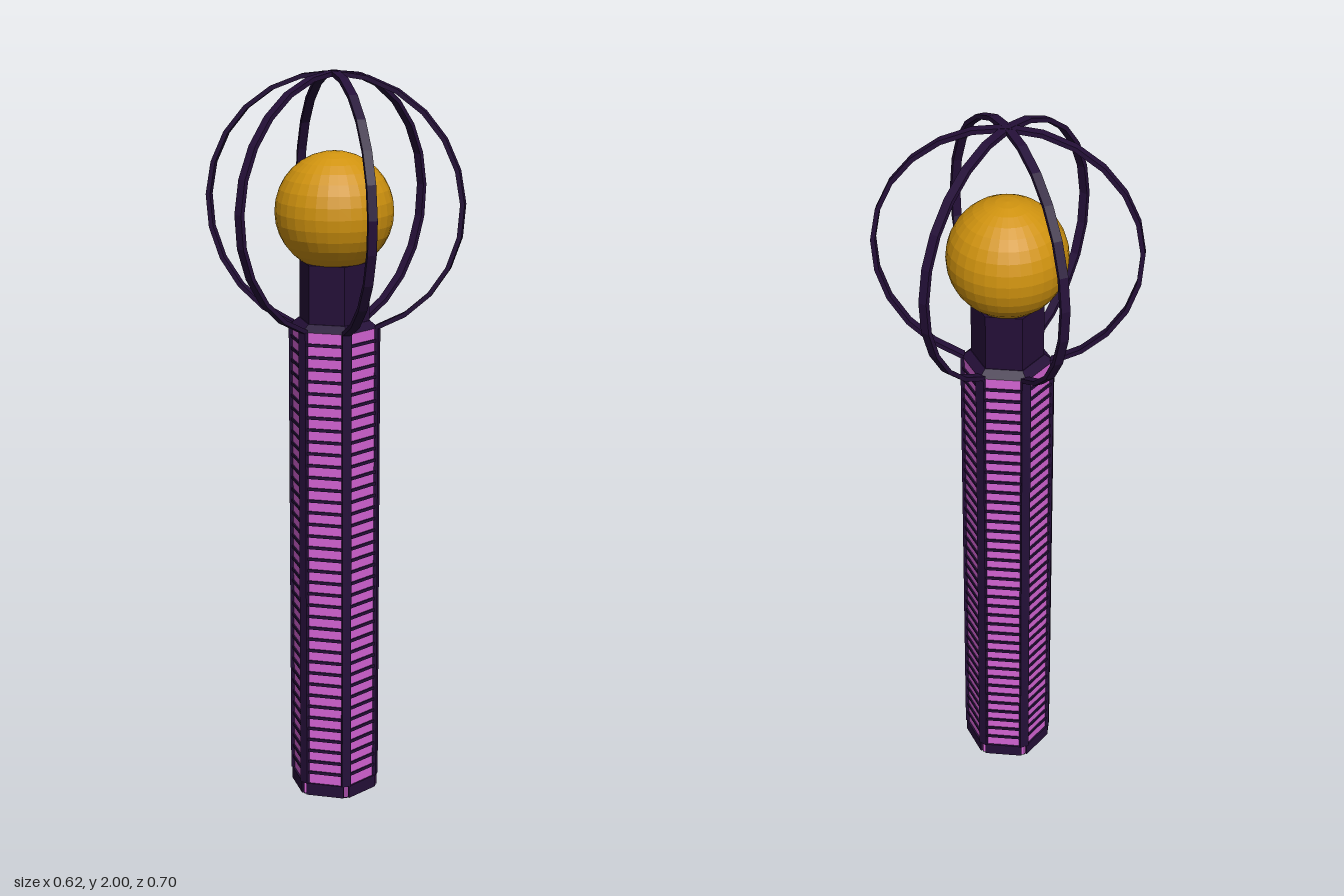
import * as THREE from 'three';

const material = (name, color, flat = false) => {
  const m = new THREE.MeshStandardMaterial({ color, flatShading: flat });
  m.name = name;
  return m;
};

export function createModel() {
  const group = new THREE.Group();
  group.name = 'cagedLantern';
  const dark = material('darkViolet', 0x240f38, true);
  const pink = material('orchidPink', 0xd664d6, true);
  const gold = material('amber', 0xd0930f, true);

  const add = (name, geometry, mat, parent = group) => {
    const mesh = new THREE.Mesh(geometry, mat);
    mesh.name = name;
    parent.add(mesh);
    return mesh;
  };
  // Hexagonal prism between two heights, corners on the z axis
  const hex = (name, rTop, rBottom, y0, y1, mat) => {
    add(name, new THREE.CylinderGeometry(rTop, rBottom, y1 - y0, 6), mat).position.y = (y0 + y1) / 2;
  };

  const R = 0.12, APOTHEM = R * Math.cos(Math.PI / 6), TOP = 1.325, BASE = 0.035;
  hex('bottomPlate', R, R, 0, 0.003, dark);
  hex('shaftCore', R, R, 0.003, TOP, pink);
  hex('collar', 0.098, 0.122, TOP, 1.343, dark);
  hex('neck', 0.096, 0.096, 1.34, 1.5, dark);

  // Glowing ball
  add('ball', new THREE.SphereGeometry(0.158, 32, 16), gold).position.y = 1.633;

  // Half hoop: flat strip rising from a shaft corner to the crown
  const outer = 0.35, inner = 0.338, centreY = 1.65, steps = 11;
  const endAngle = -Math.acos(0.117 / outer);
  const arcPoint = (r, i) => {
    const a = Math.PI / 2 + (endAngle - Math.PI / 2) * i / steps;
    return new THREE.Vector2(r * Math.cos(a), centreY + r * Math.sin(a));
  };
  const outline = [];
  for (let i = 0; i <= steps; i++) outline.push(arcPoint(outer, i));
  for (let i = steps; i >= 0; i--) outline.push(arcPoint(inner, i));
  const hoopGeometry = new THREE.ExtrudeGeometry(new THREE.Shape(outline), { depth: 0.024, bevelEnabled: false });
  hoopGeometry.translate(0, 0, -0.012);

  const postGeometry = new THREE.BoxGeometry(0.025, TOP - BASE, 0.024);
  const baseGeometry = new THREE.BoxGeometry(0.106, BASE, 0.012);
  const slatGeometry = new THREE.BoxGeometry(0.112, 0.008, 0.012);
  const slats = 39, pitch = (TOP - BASE) / slats;

  for (let k = 0; k < 6; k++) {
    const angle = k * Math.PI / 3;
    // Corner: post and half hoop
    const corner = new THREE.Group();
    corner.name = 'corner' + (k + 1);
    corner.rotation.y = angle;
    group.add(corner);
    add('cornerPost', postGeometry, dark, corner).position.set(0, (TOP + BASE) / 2, 0.111);
    add('halfHoop', hoopGeometry, dark, corner).rotation.y = -Math.PI / 2;

    // Side: base panel and stacked slats
    const side = new THREE.Group();
    side.name = 'side' + (k + 1);
    side.rotation.y = angle + Math.PI / 6;
    group.add(side);
    add('basePanel', baseGeometry, dark, side).position.set(0, BASE / 2, APOTHEM - 0.001);
    for (let i = 1; i < slats; i++) {
      add('slat', slatGeometry, dark, side).position.set(0, BASE + i * pitch, APOTHEM - 0.002);
    }
  }
  return group;
}
